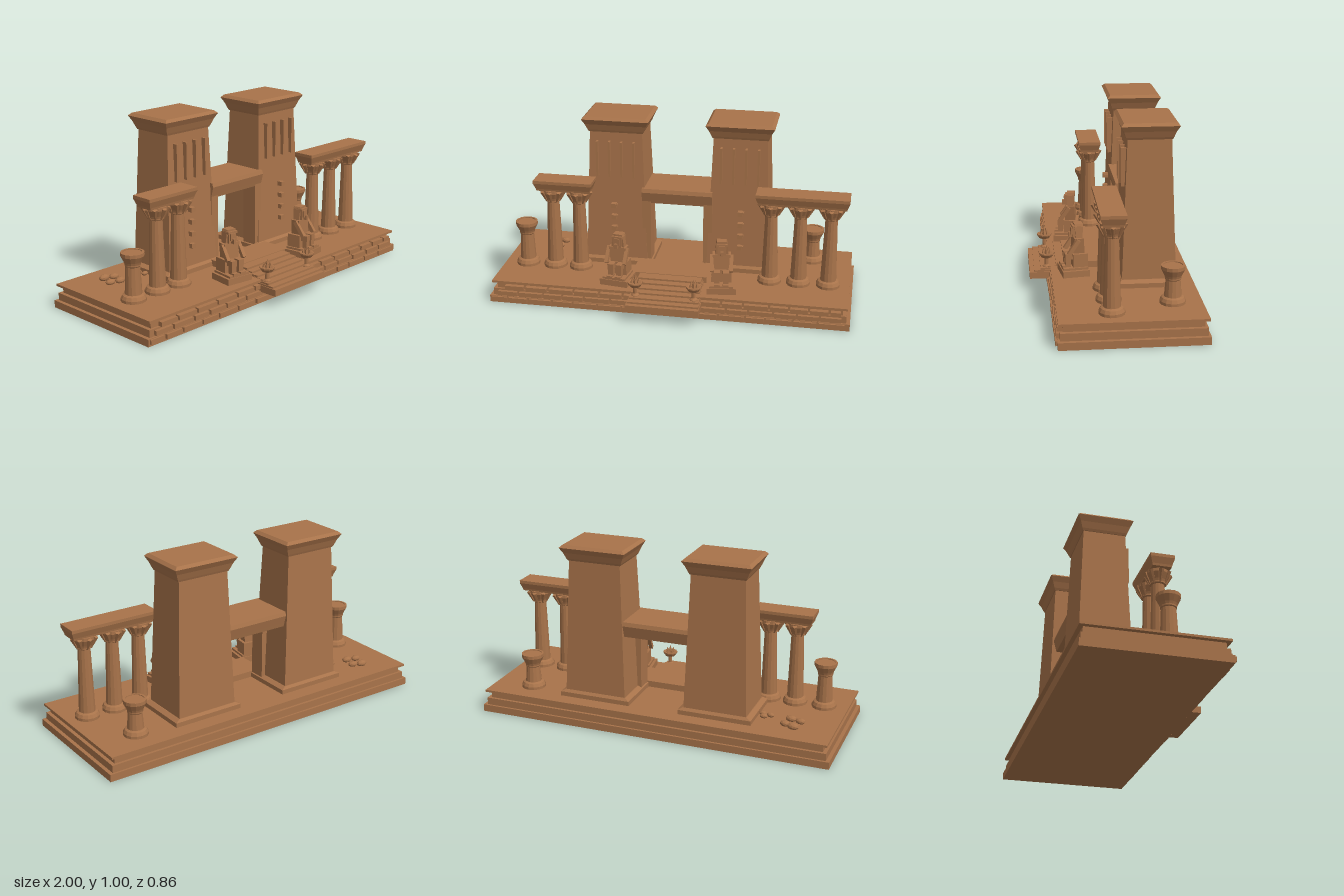
import * as THREE from 'three';

const stone = new THREE.MeshStandardMaterial({ color: 0xa8734a });
stone.name = 'sandstone';

// Adds one faceted mesh to a parent
function add(parent, name, geo, x = 0, y = 0, z = 0) {
  const flat = geo.index ? geo.toNonIndexed() : geo;
  flat.computeVertexNormals();
  const m = new THREE.Mesh(flat, stone);
  m.name = name;
  m.position.set(x, y, z);
  parent.add(m);
  return m;
}

function group(parent, name, x = 0, y = 0, z = 0) {
  const g = new THREE.Group();
  g.name = name;
  g.position.set(x, y, z);
  parent.add(g);
  return g;
}

// Box given by its limits
function block(parent, name, x0, x1, y0, y1, z0, z1) {
  return add(parent, name, new THREE.BoxGeometry(x1 - x0, y1 - y0, z1 - z0),
    (x0 + x1) / 2, (y0 + y1) / 2, (z0 + z1) / 2);
}

// Stacked rectangular sections: levels of [y, width, depth]
function tapered(parent, name, levels, x, z) {
  const g = group(parent, name, x, 0, z);
  for (let i = 0; i + 1 < levels.length; i++) {
    const [y0, w0, d0] = levels[i], [y1, w1, d1] = levels[i + 1];
    const geo = new THREE.BoxGeometry(1, 1, 1), p = geo.attributes.position;
    for (let k = 0; k < p.count; k++) {
      const top = p.getY(k) > 0;
      p.setXYZ(k, p.getX(k) * (top ? w1 : w0), top ? y1 : y0, p.getZ(k) * (top ? d1 : d0));
    }
    add(g, name + 'Section', geo);
  }
  return g;
}

function lathe(parent, name, profile, sides, x = 0, y = 0, z = 0) {
  return add(parent, name, new THREE.LatheGeometry(profile.map(p => new THREE.Vector2(...p)), sides), x, y, z);
}

// Column with a flared, petalled capital; h is its height above the floor
function column(parent, name, x, z, h, petals) {
  const g = group(parent, name, x, 0.13, z), c = h - 0.07;
  lathe(g, 'shaft', [[0, 0], [0.067, 0], [0.067, 0.015], [0.058, 0.032], [0.045, 0.038],
    [petals ? 0.034 : 0.038, c - 0.005], [0.042, c], [0.042, c + 0.008], [0.046, c + 0.02],
    [0.062, h - 0.018], [0.062, h], [0.05, h], [0.05, h - 0.004], [0, h - 0.004]], 14);
  for (let i = 0; i < 8 && petals; i++) {
    const p = group(g, 'petal', 0, c + 0.03, 0);
    p.rotation.y = i * Math.PI / 4;
    const leaf = add(p, 'leaf', new THREE.CylinderGeometry(0.014, 0.004, 0.07, 5), 0, 0, 0.052);
    leaf.rotation.x = 0.4;
  }
}

// Tower, cornice, pole grooves and carved blocks
function tower(parent, s) {
  const g = group(parent, s > 0 ? 'leftTower' : 'rightTower'), x = 0.348 * s, z = -0.183;
  tapered(g, 'plinth', [[0.13, 0.41, 0.315], [0.155, 0.41, 0.315], [0.168, 0.36, 0.29]], x, z);
  tapered(g, 'towerBody', [[0.13, 0.355, 0.287], [0.915, 0.296, 0.227]], x, z);
  tapered(g, 'cornice', [[0.91, 0.305, 0.235], [0.922, 0.318, 0.245], [0.955, 0.345, 0.268],
    [0.985, 0.378, 0.3], [1, 0.345, 0.27]], x, z);
  for (let i = 0; i < 4; i++) {
    const px = s * (0.246 + i * 0.069);
    block(g, 'poleStrip', px - 0.006, px + 0.006, 0.655, 0.86, -0.085, -0.04);
    const y = 0.27 + i * 0.068, bx = s * 0.36;
    block(g, 'carvedBlock', bx - 0.014, bx + 0.014, y, y + 0.025, -0.06, -0.022);
    block(g, 'carvedChip', bx + 0.006, bx + 0.02, y + 0.012, y + 0.021, -0.06, -0.028);
  }
}

// Seated figure on a pedestal
function statue(parent, s) {
  const g = group(parent, s > 0 ? 'leftStatue' : 'rightStatue', s * 0.29, 0, 0.193);
  g.rotation.y = s * 0.14;
  block(g, 'pedestal', -0.08, 0.08, 0.13, 0.165, -0.07, 0.075);
  block(g, 'pedestalStep', -0.065, 0.065, 0.165, 0.177, -0.065, 0.07);
  block(g, 'seat', -0.055, 0.055, 0.165, 0.25, -0.065, 0.015);
  tapered(g, 'torso', [[0.245, 0.075, 0.06], [0.335, 0.1, 0.05]], 0, -0.02);
  block(g, 'head', -0.024, 0.024, 0.335, 0.4, -0.035, 0.008);
  block(g, 'face', -0.016, 0.016, 0.35, 0.39, 0.008, 0.018);
  block(g, 'beard', -0.008, 0.008, 0.335, 0.362, 0.008, 0.03);
  tapered(g, 'headdress', [[0.335, 0.072, 0.035], [0.395, 0.062, 0.045], [0.41, 0.052, 0.045]], 0, -0.022);
  block(g, 'browBand', -0.03, 0.03, 0.386, 0.4, -0.04, 0.012);
  for (const k of [-1, 1]) {
    const x = k * 0.024;
    block(g, 'thigh', x - 0.017, x + 0.017, 0.218, 0.25, -0.02, 0.055);
    block(g, 'shin', x - 0.015, x + 0.015, 0.17, 0.235, 0.025, 0.053);
    block(g, 'foot', x - 0.016, x + 0.016, 0.17, 0.186, 0.025, 0.072);
    const arm = add(g, 'arm', new THREE.BoxGeometry(0.02, 0.095, 0.022), k * 0.053, 0.29, 0.012);
    arm.rotation.x = -0.6;
  }
}

// Fire bowl on a stem
function brazier(parent, x) {
  const g = group(parent, 'brazier', x, 0, 0.335);
  lathe(g, 'bowl', [[0, 0.115], [0.022, 0.115], [0.022, 0.125], [0.011, 0.135], [0.011, 0.17],
    [0.03, 0.177], [0.042, 0.195], [0.042, 0.202], [0.034, 0.202], [0, 0.194]], 10);
  add(g, 'flame', new THREE.ConeGeometry(0.013, 0.05, 5), 0, 0.22, 0);
  for (let i = 0; i < 5; i++) {
    const a = i * Math.PI * 0.4;
    add(g, 'flame', new THREE.ConeGeometry(0.01, 0.036, 5), Math.cos(a) * 0.019, 0.212, Math.sin(a) * 0.019);
  }
}

export function createModel() {
  const model = new THREE.Group();
  model.name = 'temple';
  let seed = 7;
  const rand = () => (seed = (seed * 16807) % 2147483647) / 2147483647;

  // Stepped base and floor slab
  block(model, 'baseLower', -1, 1, 0, 0.04, -0.43, 0.32);
  block(model, 'baseMiddle', -0.98, 0.98, 0.04, 0.08, -0.418, 0.308);
  block(model, 'baseUpper', -0.96, 0.96, 0.08, 0.12, -0.403, 0.295);
  block(model, 'floorSlab', -0.985, 0.985, 0.118, 0.13, -0.425, 0.317);

  // Facing bricks along the front
  [[0.013, 0.037, 0.335, 0.99], [0.046, 0.071, 0.328, 0.97], [0.08, 0.104, 0.323, 0.95]].forEach(([y0, y1, z, end], r) => {
    for (let x = -end + r * 0.02; x < end - 0.04;) {
      const w = Math.min(0.09 + rand() * 0.05, end - x);
      block(model, 'facingBrick', x, x + w, y0, y1, 0.28, z - rand() * 0.005);
      x += w + 0.012;
    }
  });

  // Gate platform and stairs
  block(model, 'gatePlatform', -0.22, 0.22, 0.13, 0.165, -0.05, 0.14);
  [0.43, 0.405, 0.37, 0.325, 0.285, 0.24, 0.2].forEach((z, i) => {
    const w = 0.2 - i * 0.004;
    block(model, 'stair', -w, w, 0.065, 0.102 + i * 0.01, 0.13, z);
  });

  // Towers with the gateway between them
  for (const s of [-1, 1]) {
    tower(model, s);
    statue(model, s);
    block(model, 'doorJamb', s * 0.175 - 0.025, s * 0.175 + 0.025, 0.13, 0.53, -0.14, -0.048);
  }
  tapered(model, 'gateLintel', [[0.51, 0.4, 0.235], [0.53, 0.4, 0.245], [0.575, 0.4, 0.268], [0.597, 0.4, 0.255]], 0, -0.168);

  // Colonnades with their beams
  for (const x of [-0.69, -0.54, 0.54, 0.7, 0.865]) column(model, 'column', x, 0.046, 0.47, true);
  for (const [x, w] of [[-0.62, 0.33], [0.708, 0.505]]) {
    tapered(model, 'beam', [[0.598, w - 0.03, 0.1], [0.61, w - 0.025, 0.105], [0.643, w, 0.128], [0.66, w, 0.128]], x, 0.046);
  }

  // Broken columns
  column(model, 'brokenColumn', -0.853, 0.046, 0.26, false);
  column(model, 'brokenColumn', 0.757, -0.272, 0.2, false);

  brazier(model, -0.162);
  brazier(model, 0.16);

  // Rubble behind the right colonnade
  for (const [x, z, r] of [[-0.77, -0.29, 0.032], [-0.72, -0.27, 0.028], [-0.79, -0.215, 0.028], [-0.735, -0.2, 0.03],
    [-0.62, -0.195, 0.022], [-0.59, -0.22, 0.022], [-0.575, -0.185, 0.02]]) {
    const rock = add(model, 'rubble', new THREE.IcosahedronGeometry(r, 1), x, 0.142, z);
    rock.scale.set(1, 0.6, 0.7);
    rock.rotation.y = -0.3 + rand() * 0.4;
  }
  return model;
}
